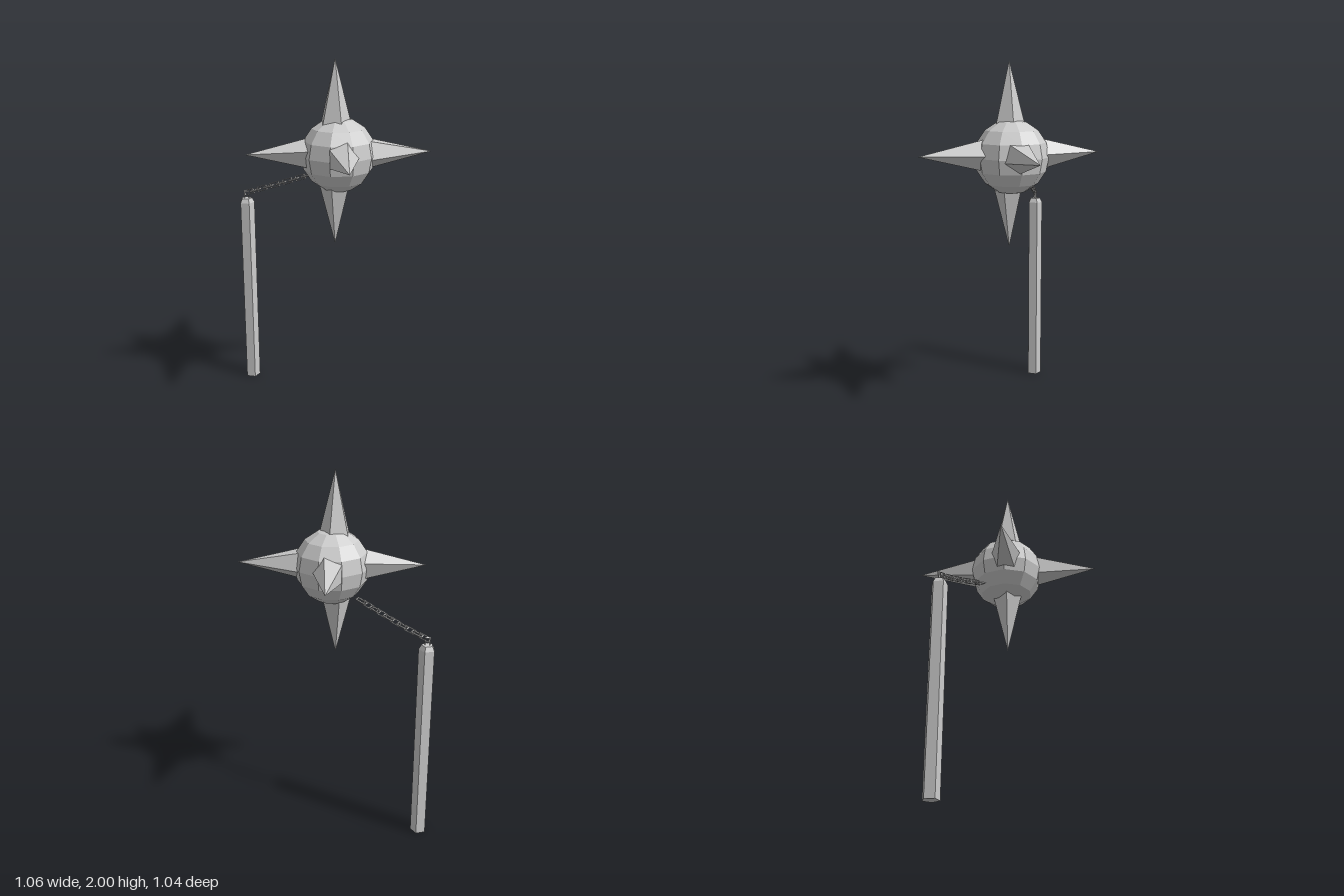
import * as THREE from 'three';

const material = new THREE.MeshStandardMaterial({ color: 0xcccccc, flatShading: true, side: THREE.DoubleSide });

function addMesh(parent, name, geometry) {
  const mesh = new THREE.Mesh(geometry, material);
  mesh.name = name;
  parent.add(mesh);
  return mesh;
}

// Five-sided spike along +y, one corner towards +x, base sunk in the ball
function spikeGeometry() {
  const base = 0.15, tip = 0.515;
  return new THREE.ConeGeometry(0.092, tip - base, 5)
    .rotateY(Math.PI / 2)
    .translate(0, (tip + base) / 2, 0);
}

// Rectangular link, long along y, lying in the xy plane
function linkGeometry(length, width) {
  return new THREE.TorusGeometry(Math.SQRT1_2, 0.12, 4, 4)
    .rotateZ(Math.PI / 4)
    .scale(width, length, 0.045);
}

export function createModel() {
  const model = new THREE.Group();
  model.name = 'flail';

  // Ball
  addMesh(model, 'ball', new THREE.SphereGeometry(0.207, 10, 8)).position.set(0.018, 1.48, -0.008);

  // Six spikes: name, position, rotation about x and z
  const spike = spikeGeometry();
  const H = Math.PI / 2;
  [
    ['topSpike', [0, 1.485, 0], 0, 0],
    ['bottomSpike', [0, 1.485, 0], 0, Math.PI],
    ['leftSpike', [0.018, 1.49, 0], 0, -H],
    ['rightSpike', [0.025, 1.49, 0], 0, H],
    ['frontSpike', [0.023, 1.495, 0], H, 0],
    ['backSpike', [0.023, 1.495, -0.008], -H, 0],
  ].forEach(([name, position, rx, rz]) => {
    const mesh = addMesh(model, name, spike);
    mesh.position.set(...position);
    mesh.rotation.set(rx, 0, rz);
  });

  // Five-sided handle with a bevelled top
  const profile = [[0, 0], [0.045, 0], [0.045, 1.135], [0.032, 1.16], [0, 1.16]]
    .map(([r, y]) => new THREE.Vector2(r, y));
  const handle = addMesh(model, 'handle', new THREE.LatheGeometry(profile, 5));
  handle.rotation.y = H;
  handle.position.set(-0.494, 0, -0.318);

  // Upright link fixed to the handle
  const chain = new THREE.Group();
  chain.name = 'chain';
  model.add(chain);
  addMesh(chain, 'handleLink', linkGeometry(0.05, 0.026)).position.set(-0.494, 1.175, -0.318);

  // Links alternate a quarter turn along the path to the ball
  const path = new THREE.CatmullRomCurve3([
    new THREE.Vector3(-0.497, 1.192, -0.32),
    new THREE.Vector3(-0.36, 1.243, -0.26),
    new THREE.Vector3(-0.13, 1.338, -0.135),
  ]);
  const link = linkGeometry(0.058, 0.027);
  const count = 10;
  for (let i = 0; i < count; i++) {
    const t = (i + 0.5) / count;
    const along = path.getTangentAt(t);
    const side = new THREE.Vector3(0, 1, 0).cross(along).normalize();
    const up = along.clone().cross(side);
    const across = i % 2 ? side : up;
    const mesh = addMesh(chain, 'link', link);
    mesh.quaternion.setFromRotationMatrix(
      new THREE.Matrix4().makeBasis(across, along, across.clone().cross(along)));
    mesh.position.copy(path.getPointAt(t));
  }

  return model;
}
